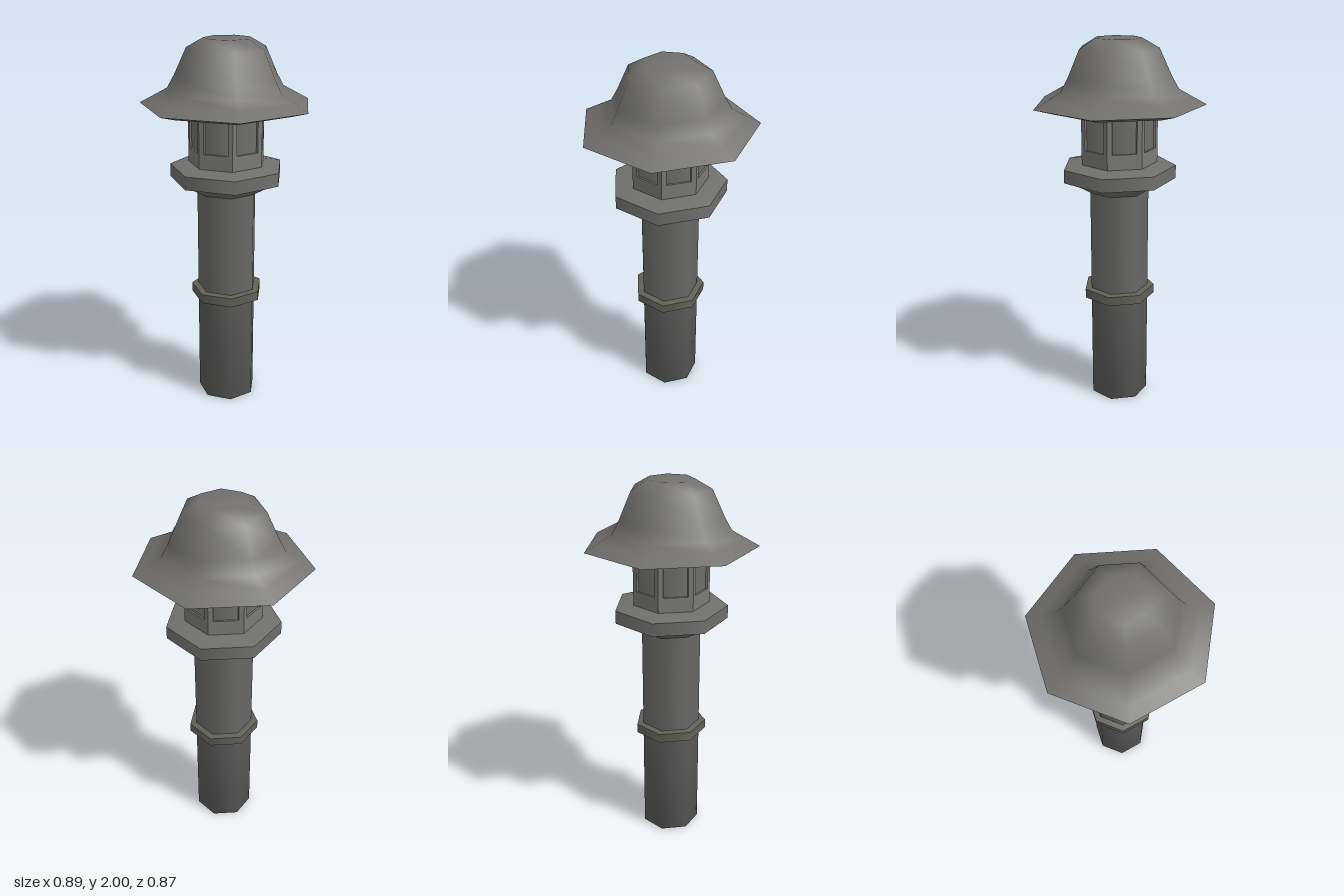
import * as THREE from 'three';
import { mergeGeometries } from 'three/addons/utils/BufferGeometryUtils.js';

const SIDES = 7, STEP = (Math.PI * 2) / SIDES;
const APOTHEM = Math.cos(STEP / 2), HALF = Math.sin(STEP / 2);

function part(name, color, geometry) {
  const mesh = new THREE.Mesh(geometry, new THREE.MeshStandardMaterial({ color }));
  mesh.name = name;
  return mesh;
}

// Seven-sided solid from [radius, y] strips running upward along the outside;
// shading is smooth around and within a strip, and sharp between strips
function sevenSided(name, color, ...strips) {
  const geos = strips.map((strip) => new THREE.LatheGeometry(
    strip.map(([r, y]) => new THREE.Vector2(r, y)), SIDES, -STEP / 2));
  return part(name, color, mergeGeometries(geos));
}

// Window frames: a panel with an opening, narrowed inward so the corners mitre
function windowFrames(color, radius, y0, y1) {
  const w = radius * HALF, face = radius * APOTHEM, depth = 0.013;
  const shape = new THREE.Shape();
  shape.moveTo(-w, y0).lineTo(w, y0).lineTo(w, y1).lineTo(-w, y1).closePath();
  const hole = new THREE.Path();
  hole.moveTo(-0.064, 1.44).lineTo(-0.064, 1.628).lineTo(0.064, 1.628).lineTo(0.064, 1.44).closePath();
  shape.holes.push(hole);
  const geo = new THREE.ExtrudeGeometry(shape, { depth, bevelEnabled: false });
  geo.translate(0, 0, face - depth);
  const p = geo.attributes.position;
  for (let i = 0; i < p.count; i++) p.setX(i, (p.getX(i) * p.getZ(i)) / face);
  geo.computeVertexNormals();
  const sides = [];
  for (let i = 0; i < SIDES; i++) sides.push(geo.clone().rotateY(i * STEP));
  return part('windowFrames', color, mergeGeometries(sides));
}

export function createModel() {
  const lantern = new THREE.Group();
  lantern.name = 'stoneLantern';

  lantern.add(
    // Post in two lengths, joined by a band
    sevenSided('lowerPost', 0x5c5c5b, [[0, 0], [0.161, 0], [0.161, 0.62]]),
    sevenSided('upperPost', 0x686866, [[0.161, 0.62], [0.161, 1.21]]),
    sevenSided('postBand', 0x626158,
      [[0.16, 0.602], [0.197, 0.602]],
      [[0.197, 0.602], [0.197, 0.652]],
      [[0.197, 0.652], [0.16, 0.656]]),
    // Flared platform under the light chamber
    sevenSided('platform', 0x70706d,
      [[0.161, 1.205], [0.275, 1.272]],
      [[0.275, 1.272], [0.305, 1.272]],
      [[0.305, 1.272], [0.305, 1.342]],
      [[0.305, 1.342], [0.2, 1.362], [0, 1.362]]),
    // Light chamber: recessed panes behind the frames
    sevenSided('windowPanes', 0x70706c, [[0.195, 1.35], [0.195, 1.65]]),
    windowFrames(0x7a7a77, 0.206, 1.355, 1.65),
    // Bell-shaped roof with upturned eaves
    sevenSided('roof', 0x72716e,
      [[0, 1.64], [0.365, 1.64]],
      [[0.365, 1.64], [0.457, 1.666]],
      [[0.457, 1.666], [0.385, 1.705], [0.312, 1.745], [0.275, 1.81], [0.21, 1.95], [0.122, 2], [0, 2]]),
  );

  // Centre the odd-sided outline front to back
  lantern.children.forEach((child) => { child.position.z = 0.022; });
  return lantern;
}
